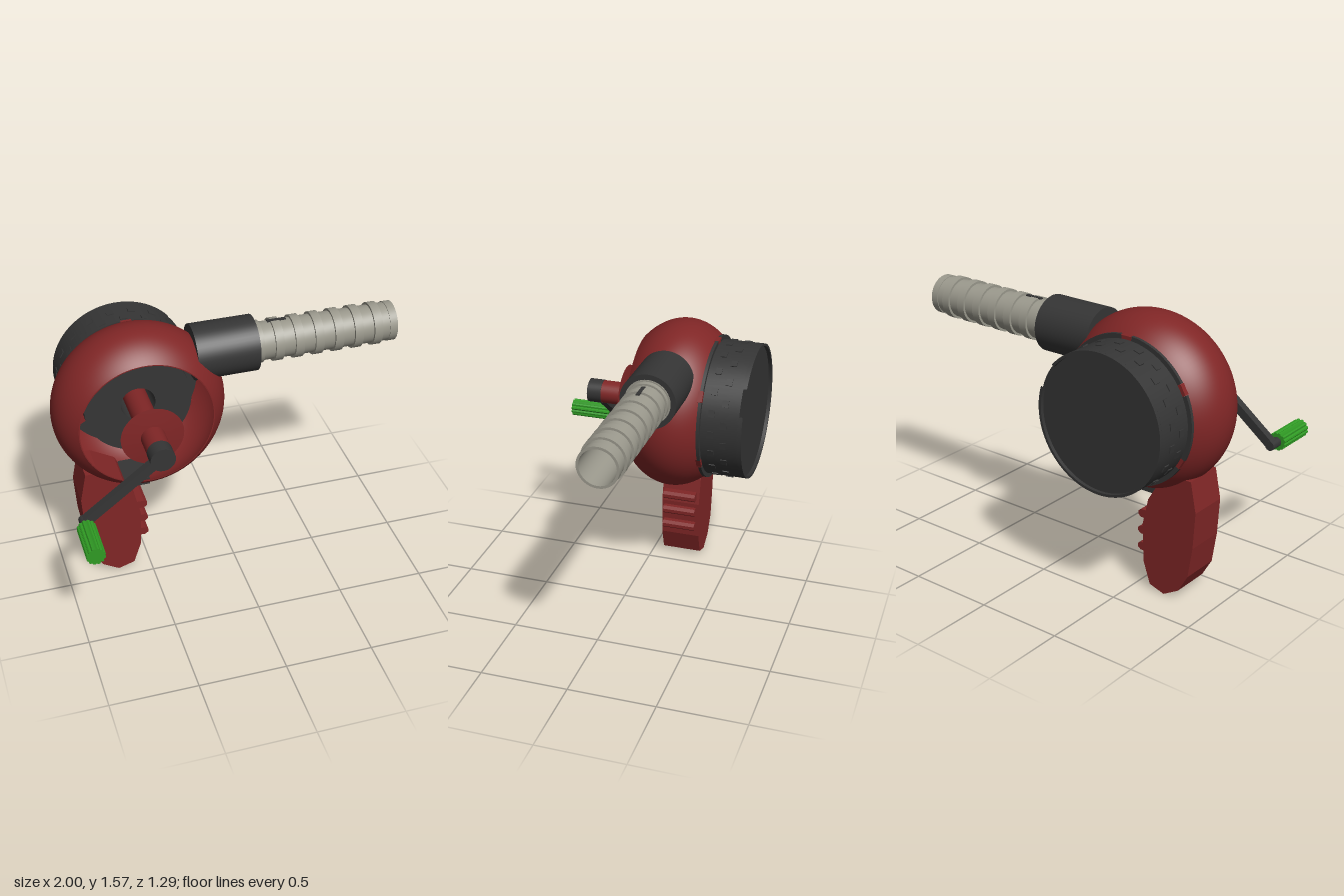
import * as THREE from 'three';
import { toCreasedNormals } from 'three/addons/utils/BufferGeometryUtils.js';

const mat = (name, color) => Object.assign(new THREE.MeshStandardMaterial({ color }), { name });

export function createModel() {
  const red = mat('dark red', 0x802626);
  const dark = mat('charcoal', 0x353535);
  const grey = mat('warm grey', 0x9b998d);
  const green = mat('green', 0x309a24);

  const model = new THREE.Group();
  const CX = -0.505, CY = 1.08, CZ = -0.185;

  const add = (name, geo, material, x = 0, y = 0, z = 0, parent = model) => {
    const m = new THREE.Mesh(geo, material);
    m.name = name;
    m.position.set(x, y, z);
    parent.add(m);
    return m;
  };
  // Profile of [radius, height] pairs, counter-clockwise, turned about an axis
  const turn = (pts, seg = 64, start = 0, len = Math.PI * 2) => toCreasedNormals(
    new THREE.LatheGeometry(pts.map(p => new THREE.Vector2(...p)), seg, start, len), 0.5);
  const turnZ = (...a) => turn(...a).rotateX(Math.PI / 2);
  const turnX = (...a) => turn(...a).rotateZ(-Math.PI / 2);
  const prism = (pts, z0, z1) => new THREE.ExtrudeGeometry(
    new THREE.Shape(pts.map(p => new THREE.Vector2(...p))),
    { depth: z1 - z0, bevelEnabled: false }).translate(0, 0, z0);
  const box = (x0, x1, y0, y1, z0, z1) => new THREE.BoxGeometry(x1 - x0, y1 - y0, z1 - z0)
    .translate((x0 + x1) / 2, (y0 + y1) / 2, (z0 + z1) / 2);

  // Hollow flattened ball, open at front and back
  const shell = [];
  const N = 28, z0 = -0.4, z1 = 0.04;
  const ball = (z, shrink) => 0.495 * Math.sqrt(1 - ((z - CZ) / 0.358) ** 2) - shrink;
  for (let i = 0; i <= N; i++) {
    const z = z0 + (z1 - z0) * i / N;
    shell.push([ball(z, 0), z]);
  }
  for (let i = N; i >= 0; i--) {
    const z = z0 + (z1 - z0) * i / N;
    shell.push([ball(z, 0.006), z]);
  }
  shell.push([...shell[0]]);
  add('body', turnZ(shell, 96), red, CX, CY);

  // Inner hub with a hole for the shaft
  add('innerHub', turnZ([[0.31, -0.395], [0.31, -0.18], [0.1, -0.18], [0.1, -0.395]]), dark, CX, CY);

  // Rear drum with a raised, interrupted rim
  add('drum', turnZ([[0, -0.625], [0.395, -0.625], [0.395, -0.39], [0, -0.39]], 72), dark, CX, CY);
  const deg = Math.PI / 180;
  const rim = [[0.38, -0.645], [0.395, -0.645], [0.395, -0.62], [0.38, -0.62], [0.38, -0.645]];
  add('drumRim', turnZ(rim, 72, (41 + 90) * deg, 337 * deg), dark, CX, CY);

  // Two staggered rows of pads around the drum
  for (let row = 0; row < 2; row++) {
    for (let i = 0; i < 20; i++) {
      const a = (i + row / 2) * Math.PI / 10;
      const pad = add('drumPad', new THREE.BoxGeometry(0.012, 0.04, 0.036), dark,
        CX + 0.394 * Math.cos(a), CY + 0.394 * Math.sin(a), row ? -0.54 : -0.467);
      pad.rotation.z = a;
    }
  }

  // Six flange arcs with red tabs in the gaps
  const flange = [[0.38, -0.408], [0.42, -0.408], [0.42, -0.39], [0.38, -0.39], [0.38, -0.408]];
  for (let k = 0; k < 6; k++) {
    const a = (30 + 60 * k) * deg;
    add('flangeArc', turnZ(flange, 14, a + 94.5 * deg, 51 * deg), dark, CX, CY);
    const tab = add('lockTab', new THREE.BoxGeometry(0.105, 0.062, 0.036), red,
      CX + 0.362 * Math.cos(a), CY + 0.362 * Math.sin(a), -0.39);
    tab.rotation.z = a;
  }

  // Nozzle sleeve and ribbed hose
  add('sleeve', turnX([[0.1, -0.19], [0.16, -0.19], [0.16, 0.17], [0.1, 0.17]], 48), dark, 0, 1.36, CZ);
  const hose = [[0.13, 0.165], [0.13, 0.175], [0.121, 0.175], [0.121, 0.205], [0.11, 0.205]];
  for (let k = 0; k < 6; k++) {
    const x = 0.27 + k * 0.1175;
    hose.push([0.11, x], [0.123, x], [0.123, x + 0.05], [0.11, x + 0.05]);
  }
  hose.push([0.11, 0.955], [0.114, 0.955], [0.114, 1], [0.1, 1], [0.1, -0.18]);
  add('hose', turnX(hose, 48), grey, 0, 1.36, CZ);
  add('hoseSlot', box(0.25, 0.36, 1.478, 1.485, -0.197, -0.177), dark);

  // Drive shaft, lens-shaped guard and crank hub
  const cyl = (r, a, b, seg = 40) => turnZ([[0, a], [r, a], [r, b], [0, b]], seg);
  add('shaft', cyl(0.068, -0.39, 0.3), red, CX, CY);
  add('shaftGuard', turnZ([[0, 0.138], [0.1, 0.142], [0.178, 0.15], [0.1, 0.158], [0, 0.162]], 48), red, CX, CY);
  add('crankHub', cyl(0.07, 0.295, 0.38), dark, CX, CY);

  // Crank arm and grip
  const KX = -0.947, KY = 0.742;
  const dx = KX - CX, dy = KY - CY;
  const arm = add('crankArm', new THREE.BoxGeometry(Math.hypot(dx, dy), 0.052, 0.045), dark,
    (KX + CX) / 2, (KY + CY) / 2, 0.348);
  arm.rotation.z = Math.atan2(dy, dx);
  add('crankPin', cyl(0.028, 0.322, 0.41, 20), dark, KX, KY);
  const flutes = [];
  for (let i = 0; i < 36; i++) {
    const r = i % 3 === 0 ? 0.046 : 0.053, a = i * Math.PI / 18;
    flutes.push([r * Math.cos(a), r * Math.sin(a)]);
  }
  add('crankGrip', prism(flutes, 0.4, 0.65), green, KX, KY);

  // Pistol grip with finger ridges
  add('handle', prism([[-0.855, 0.73], [-0.89, 0.555], [-0.877, 0.34], [-0.85, 0.16], [-0.79, 0.055],
    [-0.695, 0.0], [-0.6, 0.03], [-0.555, 0.16], [-0.545, 0.385], [-0.58, 0.545], [-0.64, 0.65],
    [-0.78, 0.73]], -0.3, -0.067), red);
  add('handleMount', box(-0.64, -0.48, 0.582, 0.625, -0.287, -0.08), dark);
  for (const y of [0.437, 0.336, 0.236]) {
    add('fingerRidge', prism([[-0.59, -0.024], [-0.52, -0.024], [-0.502, -0.01], [-0.502, 0.01],
      [-0.52, 0.024], [-0.59, 0.024]], -0.282, -0.083), red, 0, y);
  }
  return model;
}
